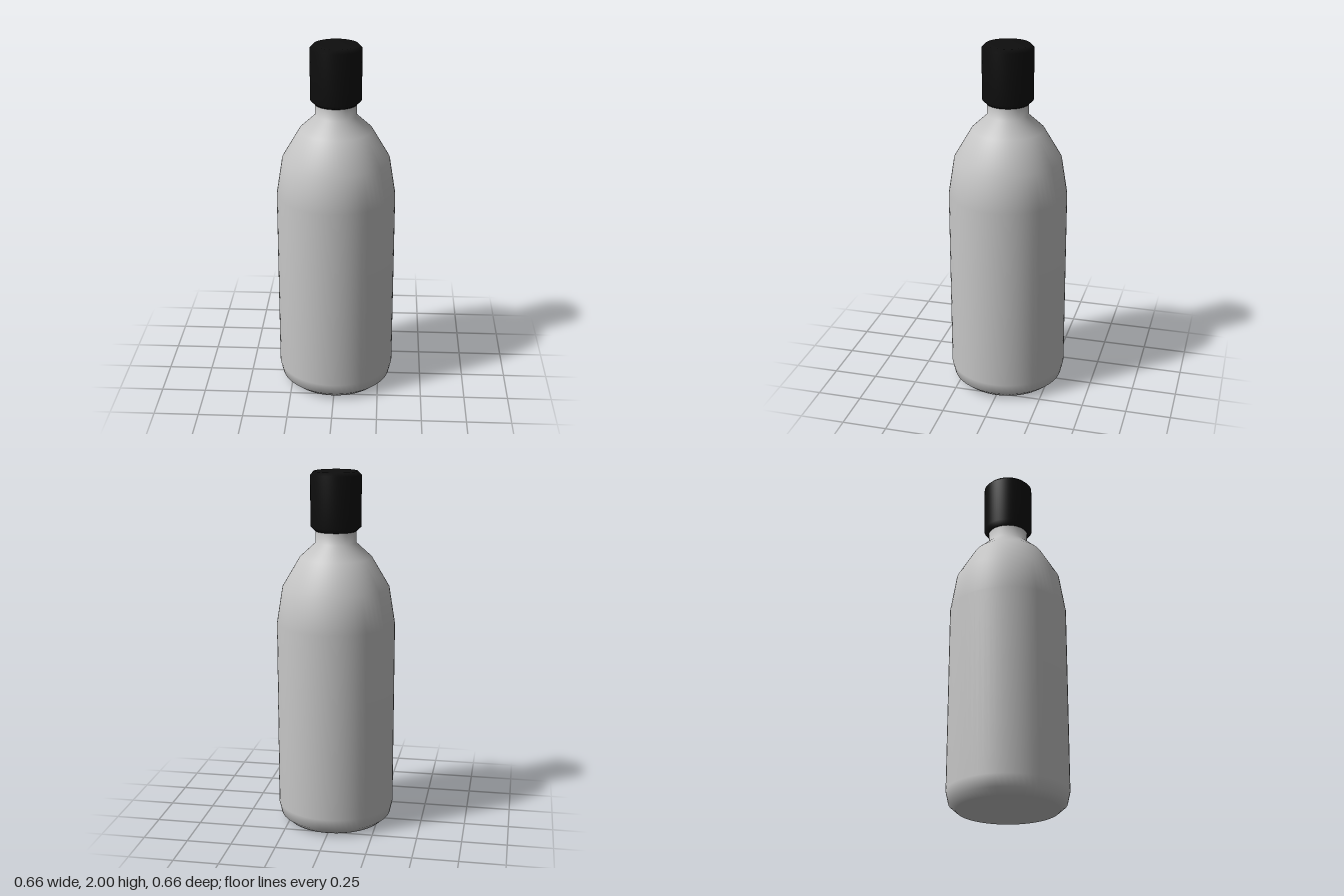
import * as THREE from 'three';

const SEGMENTS = 64;

// Revolve a list of [radius, height] pairs, bottom to top
function turned(name, profile, material) {
  const points = profile.map(([r, y]) => new THREE.Vector2(r, y));
  const mesh = new THREE.Mesh(new THREE.LatheGeometry(points, SEGMENTS), material);
  mesh.name = name;
  return mesh;
}

export function createModel() {
  const grey = new THREE.MeshStandardMaterial({ color: 0xc6c6c6 });
  grey.name = 'bottle grey';
  const black = new THREE.MeshStandardMaterial({ color: 0x0e0e0e });
  black.name = 'cap black';

  const model = new THREE.Group();
  model.name = 'bottle';

  // Body with bevelled base, stepped shoulder and short neck
  model.add(turned('bottleBody', [
    [0, 0], [0.275, 0.005], [0.315, 0.04], [0.33, 0.105],
    [0.33, 1.16], [0.297, 1.365], [0.2, 1.53], [0.113, 1.61], [0.113, 1.69],
  ], grey));

  // Screw cap with bevelled rims
  model.add(turned('cap', [
    [0, 1.675], [0.115, 1.675], [0.14, 1.7],
    [0.14, 1.98], [0.12, 2], [0, 2],
  ], black));

  return model;
}
